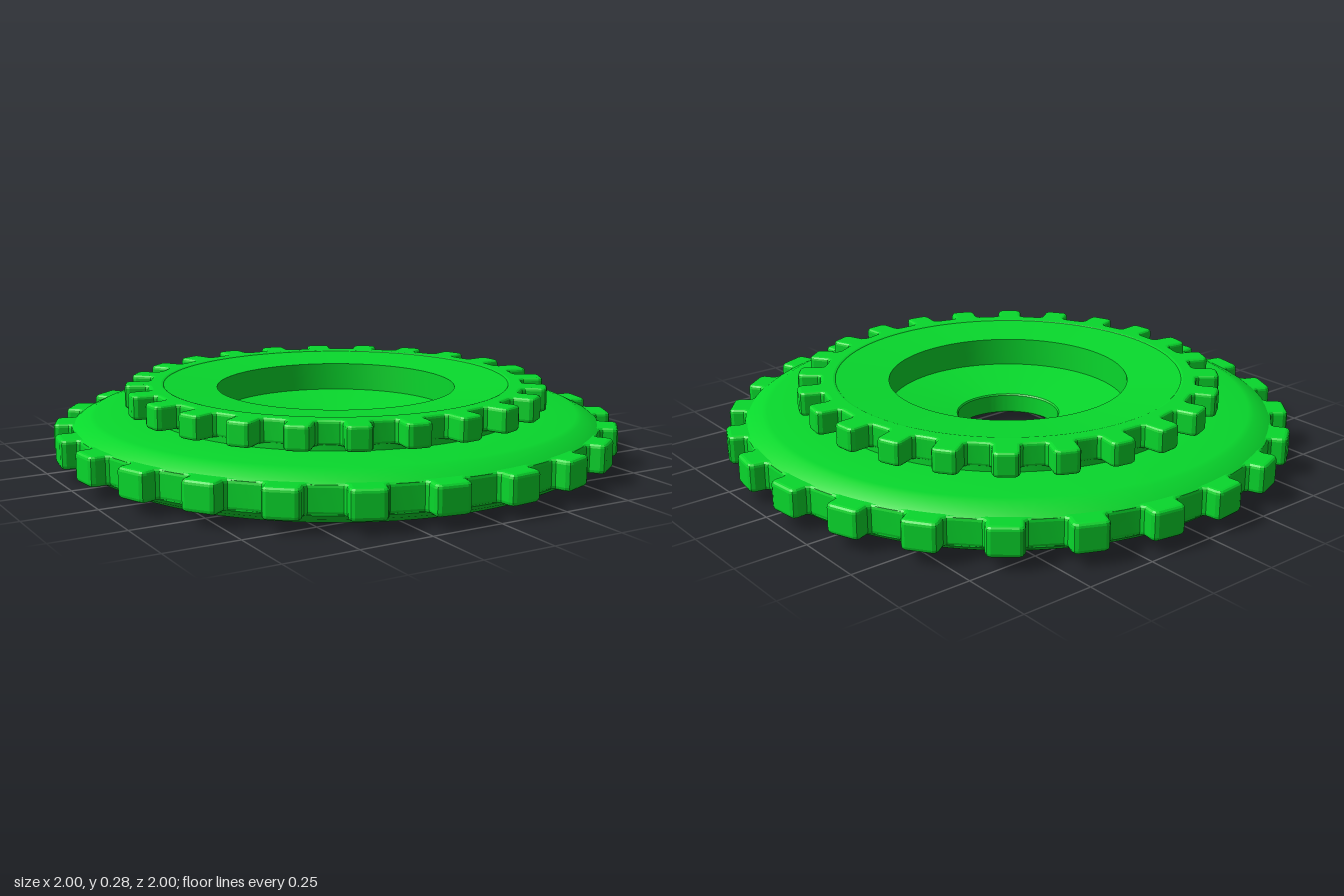
import * as THREE from 'three';
import { toCreasedNormals } from 'three/addons/utils/BufferGeometryUtils.js';

const TEETH = 24;
const STEP = (Math.PI * 2) / TEETH;
const PHASE = THREE.MathUtils.degToRad(5.6);

// Flat toothed ring lying between heights y0 and y1, with softly bevelled edges
function toothedRing({ root, tip, width, hole, y0, y1, bevel }, material) {
  const pts = [];
  const half = width / 2;
  const corner = 0.018;
  for (let i = 0; i < TEETH; i++) {
    const a = PHASE + i * STEP;
    const c = Math.cos(a), s = Math.sin(a);
    // One tooth: [radial, tangential] from one foot to the other
    const tooth = [
      [root, -half - 0.008], [root + 0.01, -half],
      [tip - corner, -half], [tip - 0.005, -half + 0.006], [tip, -half + corner],
    ];
    const mirrored = tooth.map(([r, t]) => [r, -t]).reverse();
    for (const [r, t] of [...tooth, ...mirrored]) {
      pts.push(new THREE.Vector2(r * c - t * s, r * s + t * c));
    }
    // Valley to the next tooth
    const foot = Math.atan2(half + 0.008, root);
    for (let k = 1; k <= 3; k++) {
      const b = a + foot + (STEP - 2 * foot) * (k / 4);
      pts.push(new THREE.Vector2(root * Math.cos(b), root * Math.sin(b)));
    }
  }
  const shape = new THREE.Shape(pts);
  shape.holes.push(new THREE.Path().absarc(0, 0, hole, 0, Math.PI * 2, true));

  const geo = new THREE.ExtrudeGeometry(shape, {
    depth: y1 - y0 - 2 * bevel,
    curveSegments: 64,
    bevelEnabled: true,
    bevelThickness: bevel,
    bevelSize: bevel,
    bevelOffset: -bevel,
    bevelSegments: 3,
  });
  geo.translate(0, 0, y0 + bevel);
  geo.rotateX(-Math.PI / 2);
  return new THREE.Mesh(toCreasedNormals(geo, 0.25), material);
}

export function createModel() {
  const group = new THREE.Group();
  group.name = 'doubleSprocket';
  const green = new THREE.MeshStandardMaterial({ color: 0x08d82c });

  // Dished body: underside, chamfered rim, neck, sloping upper face, recess and bore
  const profile = [
    [0.184, 0.048], [0.4, 0.04], [0.62, 0.026], [0.72, 0.014], [0.8, 0.002], [0.855, 0],
    [0.875, 0.006], [0.92, 0.03], [0.935, 0.045],
    [0.935, 0.14], [0.92, 0.15], [0.875, 0.171], [0.855, 0.175],
    [0.665, 0.175], [0.665, 0.2], [0.64, 0.2], [0.64, 0.274],
    [0.425, 0.255], [0.425, 0.154],
    [0.184, 0.12], [0.18, 0.115], [0.18, 0.054], [0.184, 0.048],
  ].map(([r, y]) => new THREE.Vector2(r, y));
  const body = new THREE.Mesh(
    toCreasedNormals(new THREE.LatheGeometry(profile, 128), 0.4), green);
  body.name = 'dishedBody';
  group.add(body);

  // Large lower ring of teeth
  const lower = toothedRing(
    { root: 0.937, tip: 1.0, width: 0.122, hole: 0.8, y0: 0.043, y1: 0.145, bevel: 0.014 }, green);
  lower.name = 'lowerTeeth';
  group.add(lower);

  // Small upper ring of teeth around the body
  const upper = toothedRing(
    { root: 0.667, tip: 0.75, width: 0.09, hole: 0.61, y0: 0.19, y1: 0.275, bevel: 0.012 }, green);
  upper.name = 'upperTeeth';
  group.add(upper);

  return group;
}
